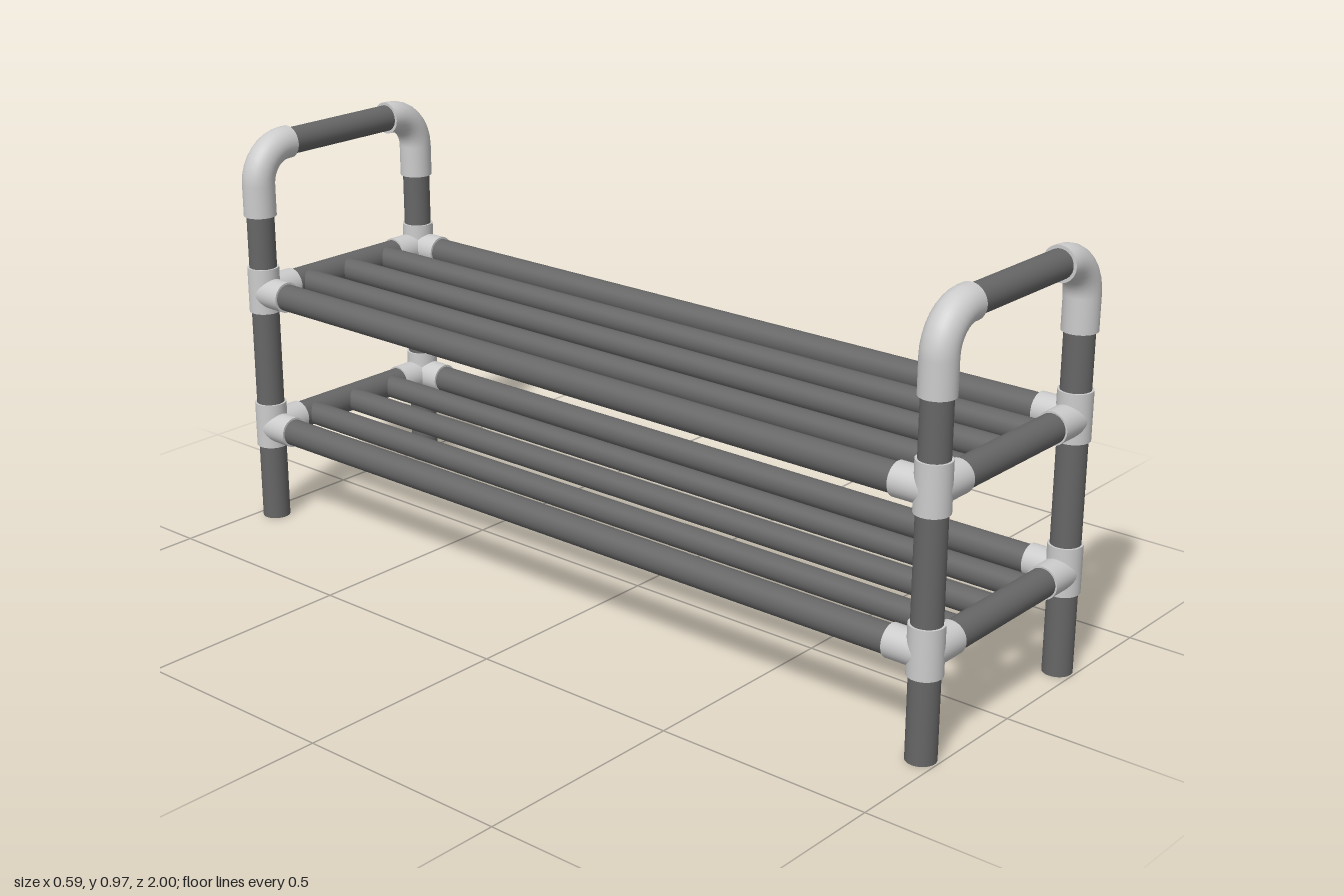
import * as THREE from 'three';

const PIPE = new THREE.MeshStandardMaterial({ color: 0x666666 });
const FITTING = new THREE.MeshStandardMaterial({ color: 0xcccccc });
const LEG_X = 0.257, END_Z = 0.962, TOP_Y = 0.928;
const PIPE_R = 0.033, FIT_R = 0.038;
const SHELVES = [0.235, 0.578];

// Capped cylinder running from point a to point b
function rod(name, a, b, radius, material) {
  const start = new THREE.Vector3(...a), end = new THREE.Vector3(...b);
  const dir = end.clone().sub(start);
  const mesh = new THREE.Mesh(new THREE.CylinderGeometry(radius, radius, dir.length(), 32), material);
  mesh.position.copy(start).add(end).multiplyScalar(0.5);
  mesh.quaternion.setFromUnitVectors(new THREE.Vector3(0, 1, 0), dir.normalize());
  mesh.name = name;
  return mesh;
}

// Bent fitting joining a leg to the handle bar
function elbow(sx, z) {
  const group = new THREE.Group();
  group.name = 'elbow';
  const bend = 0.085, r = 0.039;
  const x = sx * LEG_X, cx = sx * (LEG_X - bend), cy = TOP_Y - bend;
  const turn = new THREE.Mesh(new THREE.TorusGeometry(bend, r, 32, 8, Math.PI / 2), FITTING);
  turn.name = 'elbowBend';
  turn.position.set(cx, cy, z);
  if (sx < 0) turn.rotation.z = Math.PI / 2;
  group.add(
    turn,
    rod('elbowLowerSocket', [x, 0.767, z], [x, cy, z], r, FITTING),
    rod('elbowUpperSocket', [cx, TOP_Y, z], [sx * 0.16, TOP_Y, z], r, FITTING)
  );
  return group;
}

// Three-way fitting: vertical sleeve with one arm inward in x and one in z
function cornerJoint(sx, sz, y) {
  const group = new THREE.Group();
  group.name = 'cornerJoint';
  const x = sx * LEG_X, z = sz * END_Z;
  group.add(
    rod('sleeve', [x, y - 0.048, z], [x, y + 0.062, z], FIT_R, FITTING),
    rod('crossArm', [x, y, z], [sx * 0.169, y, z], FIT_R - 0.001, FITTING),
    rod('railArm', [x, y, z], [x, y, sz * 0.88], FIT_R - 0.001, FITTING)
  );
  return group;
}

export function createModel() {
  const model = new THREE.Group();
  model.name = 'pipeShoeRack';

  // End frames
  for (const sz of [-1, 1]) {
    const z = sz * END_Z;
    const frame = new THREE.Group();
    frame.name = sz > 0 ? 'frontFrame' : 'backFrame';
    for (const sx of [-1, 1]) {
      const x = sx * LEG_X;
      frame.add(rod('leg', [x, 0, z], [x, 0.8, z], PIPE_R, PIPE), elbow(sx, z));
      for (const y of SHELVES) frame.add(cornerJoint(sx, sz, y));
    }
    frame.add(rod('handleBar', [-0.19, TOP_Y, z], [0.19, TOP_Y, z], 0.032, PIPE));
    for (const y of SHELVES) {
      frame.add(rod('crossBar', [-0.21, y, z], [0.21, y, z], PIPE_R, PIPE));
    }
    model.add(frame);
  }

  // Shelves: two outer rails and three slats each
  for (const y of SHELVES) {
    const shelf = new THREE.Group();
    shelf.name = 'shelf';
    for (const sx of [-1, 1]) {
      shelf.add(rod('outerRail', [sx * LEG_X, y, -0.93], [sx * LEG_X, y, 0.93], 0.032, PIPE));
    }
    for (const x of [-0.13, 0, 0.128]) {
      shelf.add(rod('slat', [x, y, -0.95], [x, y, 0.95], 0.028, PIPE));
    }
    model.add(shelf);
  }
  return model;
}
